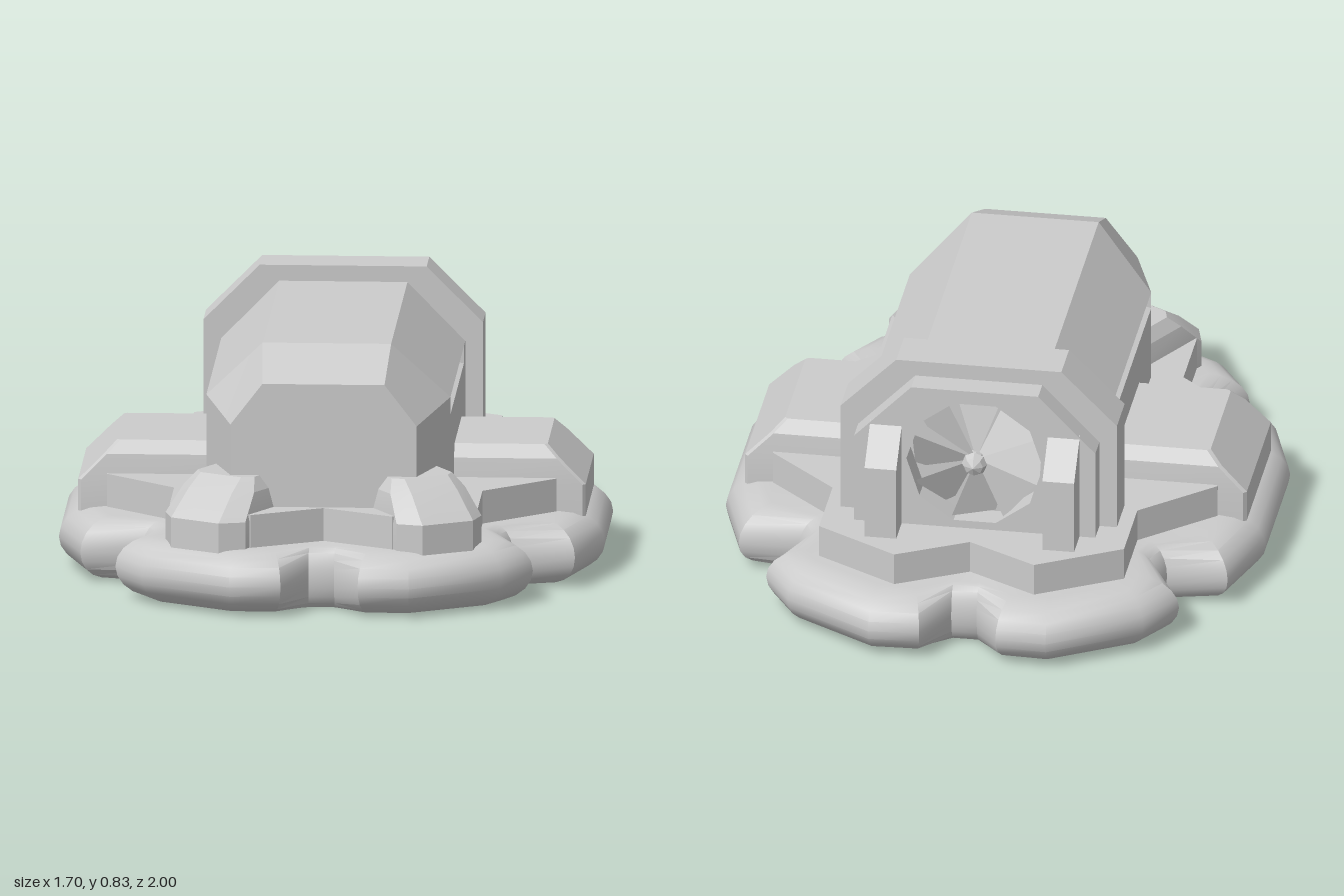
import * as THREE from 'three';
import { toCreasedNormals } from 'three/addons/utils/BufferGeometryUtils.js';

const material = new THREE.MeshStandardMaterial({ color: 0xcccccc });
const doubleSided = new THREE.MeshStandardMaterial({ color: 0xcccccc, side: THREE.DoubleSide });

// Skin a stack of equal-length loops of [x, y, z] and close both ends.
function loft(loops, crease = 0.3) {
  const pos = [];
  const tri = (a, b, c) => pos.push(...a, ...b, ...c);
  const n = loops[0].length;
  const centre = (loop) => [0, 1, 2].map((k) => loop.reduce((s, p) => s + p[k], 0) / n);
  const first = loops[0], last = loops[loops.length - 1];
  const c0 = centre(first), c1 = centre(last);
  for (let i = 0; i < n; i++) {
    const j = (i + 1) % n;
    for (let k = 0; k < loops.length - 1; k++) {
      const a = loops[k], b = loops[k + 1];
      tri(a[i], a[j], b[j]);
      tri(a[i], b[j], b[i]);
    }
    tri(c0, first[j], first[i]);
    tri(c1, last[i], last[j]);
  }
  const g = new THREE.BufferGeometry();
  g.setAttribute('position', new THREE.Float32BufferAttribute(pos, 3));
  return toCreasedNormals(g, crease);
}

// Mirror a quarter outline of [x, z] into a full loop.
function fullOutline(q) {
  const r = [...q].reverse();
  return [
    ...q,
    ...r.map(([x, z]) => [x, -z]),
    ...q.map(([x, z]) => [-x, -z]),
    ...r.map(([x, z]) => [-x, z]),
  ];
}

// Arch-like outline from its right half, counter-clockwise.
const arch = (half) => [...half, ...[...half].reverse().map(([x, y, z]) => [-x, y, z])];

function extrudeArch(half, z0, z1, hole) {
  const shape = new THREE.Shape(arch(half).map(([x, y]) => new THREE.Vector2(x, y)));
  if (hole) shape.holes.push(hole);
  return new THREE.ExtrudeGeometry(shape, { depth: z1 - z0, bevelEnabled: false }).translate(0, 0, z0);
}

export function createModel() {
  const model = new THREE.Group();
  const add = (name, geometry, parent = model, mat = material) => {
    const mesh = new THREE.Mesh(geometry, mat);
    mesh.name = name;
    parent.add(mesh);
    return mesh;
  };

  // Inflated skirt: lobed outline swept through a half-ellipse profile
  const outer = fullOutline([[0.04, 0.86], [0.12, 0.99], [0.28, 1], [0.56, 0.83], [0.65, 0.69],
    [0.56, 0.54], [0.58, 0.49], [0.77, 0.485], [0.85, 0.24]]);
  const inner = fullOutline([[0.04, 0.81], [0.15, 0.87], [0.27, 0.87], [0.48, 0.75], [0.52, 0.68],
    [0.49, 0.52], [0.52, 0.45], [0.68, 0.38], [0.72, 0.2]]);
  const rings = [];
  for (let k = 0; k <= 10; k++) {
    const a = Math.PI * (k / 10 - 0.5);
    const t = Math.cos(a);
    rings.push(outer.map(([x, z], i) => [
      inner[i][0] + (x - inner[i][0]) * t, 0.098 + 0.098 * Math.sin(a), inner[i][1] + (z - inner[i][1]) * t]));
  }
  add('skirt', loft(rings, 0.6));

  // Deck slab
  const deck = fullOutline([[0, 0.74], [0.22, 0.86], [0.48, 0.71], [0.48, 0.45], [0.7, 0.25]]);
  add('deck', loft([0.18, 0.3].map((y) => deck.map(([x, z]) => [x, y, z]))));

  // Pods: levels are [height, reach, half width, corner cut]
  const pod = (name, angle, offset, start, levels) => {
    const g = loft(levels.map(([y, a, w, c]) => [
      [-w, y, start], [-w, y, a - c], [-w + c, y, a], [w - c, y, a], [w, y, a - c], [w, y, start]]));
    add(name, g.translate(offset, 0, 0)).rotation.y = angle;
  };
  for (const [side, label] of [[1, 'left'], [-1, 'right']]) {
    pod(label + 'SidePod', side * Math.PI / 2, 0, 0.3,
      [[0.18, 0.79, 0.245, 0.01], [0.28, 0.79, 0.245, 0.01], [0.36, 0.71, 0.235, 0.01], [0.4, 0.67, 0.205, 0.01]]);
    pod(label + 'FrontPod', side * Math.PI / 6, -side * 0.087, 0.5,
      [[0.18, 0.938, 0.148, 0.06], [0.28, 0.938, 0.148, 0.06], [0.36, 0.85, 0.13, 0.05], [0.4, 0.79, 0.105, 0.03]]);
  }

  // Cabin: chamfered hull with a shallow side groove and a tapered nose
  const section = (zSide, zTop, groove) => arch([
    [0.38, 0.2, zSide], [0.38, 0.54, zSide], [0.38 - groove, 0.545, zSide],
    [0.38 - groove, 0.585, zSide], [0.38, 0.595, zSide], [0.2, 0.78, zTop]]);
  const nose = arch([[0.29, 0.2, 0.73], [0.29, 0.5, 0.73], [0.29, 0.52, 0.73],
    [0.29, 0.54, 0.73], [0.29, 0.56, 0.73], [0.19, 0.69, 0.73]]);
  add('cabin', loft([section(-0.55, -0.55, 0), section(-0.34, -0.34, 0), section(-0.34, -0.34, 0.02),
    section(0.44, 0.53, 0.02), section(0.44, 0.53, 0), nose]));

  // Raised frame around the rear of the cabin
  add('rearFrame', extrudeArch([[0.435, 0.2], [0.435, 0.655], [0.26, 0.83]], -0.57, -0.42));

  // Fan housing with a ten-sided opening
  const fanY = 0.53, fanR = 0.215;
  const hole = new THREE.Path();
  hole.setFromPoints(Array.from({ length: 10 }, (_, i) => {
    const a = -i * Math.PI / 5;
    return new THREE.Vector2(fanR * Math.cos(a), fanY + fanR * Math.sin(a));
  }));
  add('fanHousing', extrudeArch([[0.38, 0.2], [0.38, 0.595], [0.2, 0.78]], -0.65, -0.545, hole));

  // Fan: pitched tapering blades around a pointed hub
  const fan = new THREE.Group();
  fan.name = 'fan';
  fan.position.set(0, fanY, -0.6);
  model.add(fan);
  for (let i = 0; i < 8; i++) {
    const blade = new THREE.BufferGeometry();
    blade.setAttribute('position', new THREE.Float32BufferAttribute(
      [0, 0, -0.02, 0.2, -0.075, 0.04, 0.2, 0.075, -0.03], 3));
    blade.computeVertexNormals();
    add('fanBlade', blade, fan, doubleSided).rotation.z = i * Math.PI / 4;
  }
  const hub = new THREE.LatheGeometry(
    [[0, 0], [0.025, 0], [0.025, 0.035], [0.04, 0.055], [0.03, 0.075], [0, 0.09]]
      .map(([r, y]) => new THREE.Vector2(r, y)), 8);
  add('fanHub', toCreasedNormals(hub.rotateX(-Math.PI / 2), 0.3), fan);

  // Rudder fins with sloped tops
  const finShape = new THREE.Shape([[-0.755, 0.28], [-0.64, 0.28], [-0.64, 0.65], [-0.755, 0.54]]
    .map(([z, y]) => new THREE.Vector2(-z, y)));
  for (const side of [1, -1]) {
    const g = new THREE.ExtrudeGeometry(finShape, { depth: 0.1, bevelEnabled: false });
    add(side > 0 ? 'leftRudder' : 'rightRudder', g.translate(0, 0, -0.05).rotateY(Math.PI / 2))
      .position.x = side * 0.28;
  }
  return model;
}
